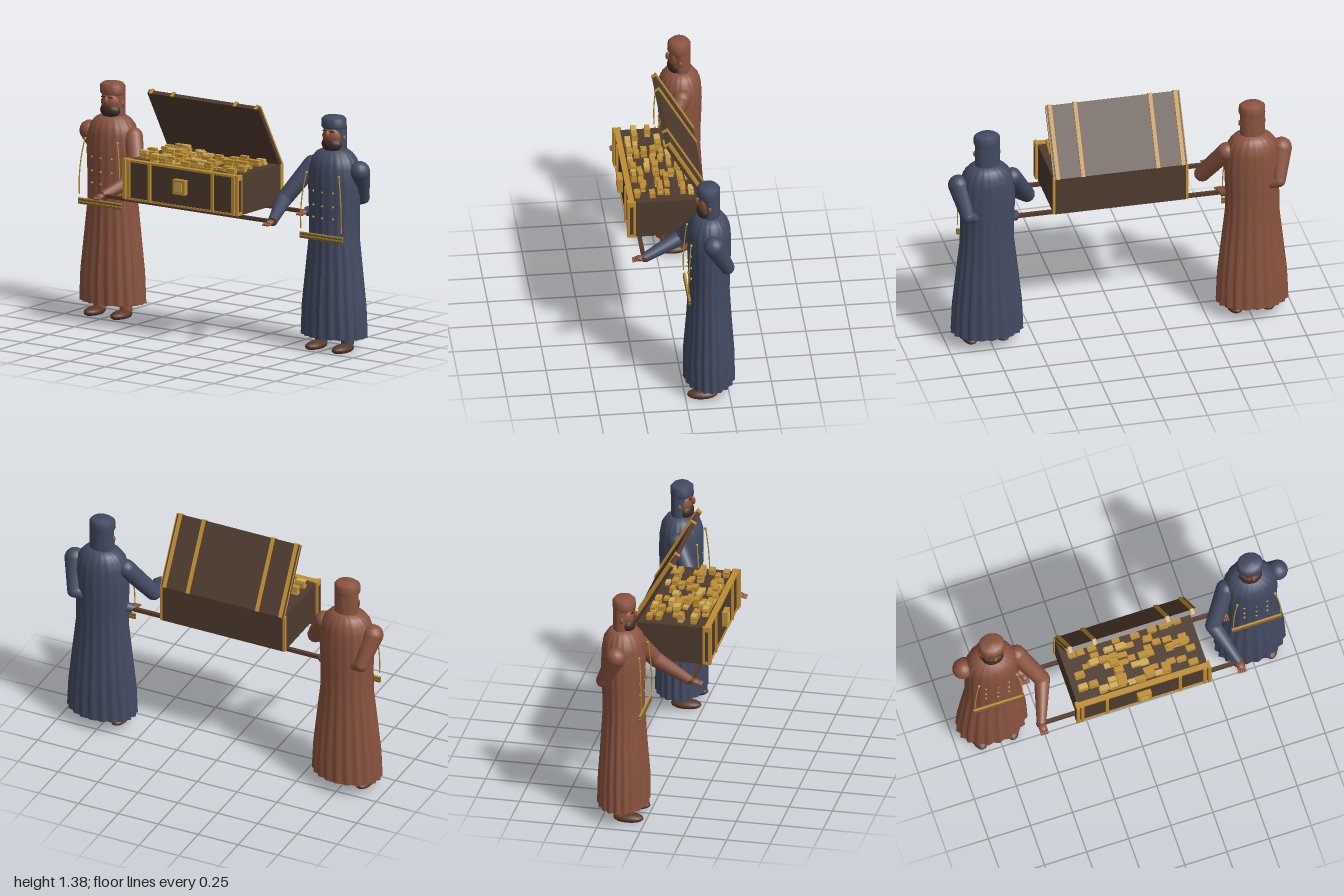
import * as THREE from 'three';

const mat = (name, color, side = THREE.FrontSide) => {
  const m = new THREE.MeshStandardMaterial({ color, side });
  m.name = name;
  return m;
};

export function createModel() {
  const M = {
    blue: mat('blue cloth', 0x434b62, THREE.DoubleSide),
    rust: mat('rust cloth', 0x8a5340, THREE.DoubleSide),
    skin: mat('skin', 0x8c5138),
    beard: mat('dark beard', 0x3c2c23),
    shoe: mat('shoe leather', 0x573828),
    wood: mat('chest wood', 0x4f3b2e),
    pole: mat('pole wood', 0x553a2c),
    gold: mat('gold', 0xbf8f33),
    pale: mat('pale gold', 0xd1ab57),
    brass: mat('dull brass', 0x77602a),
  };
  const root = new THREE.Group();
  const add = (parent, name, geo, material, x = 0, y = 0, z = 0) => {
    const m = new THREE.Mesh(geo, material);
    m.name = name;
    m.position.set(x, y, z);
    parent.add(m);
    return m;
  };
  const box = (parent, name, material, x, y, z, w, h, d) =>
    add(parent, name, new THREE.BoxGeometry(w, h, d), material, x, y, z);
  const ball = (parent, name, material, x, y, z, rx, ry = rx, rz = rx) =>
    add(parent, name, new THREE.SphereGeometry(1, 16, 10).scale(rx, ry, rz), material, x, y, z);
  // tapered limb between two points
  const limb = (parent, name, material, a, b, ra, rb) => {
    const p = new THREE.Vector3(...a), q = new THREE.Vector3(...b), d = q.clone().sub(p);
    const m = add(parent, name, new THREE.CylinderGeometry(rb, ra, d.length(), 12), material);
    m.position.copy(p).lerp(q, 0.5);
    m.quaternion.setFromUnitVectors(new THREE.Vector3(0, 1, 0), d.normalize());
  };
  // pleated tube from sections [y, half width, front z, back z, pleat depth]
  const pleated = (sections, folds) => {
    const g = new THREE.LatheGeometry(sections.map(s => new THREE.Vector2(1, s[0])), folds * 4);
    const p = g.attributes.position, n = sections.length;
    for (let i = 0; i < p.count; i++) {
      const [, w, zf, zb, depth] = sections[i % n];
      const a = Math.atan2(p.getX(i), p.getZ(i));
      const k = 1 - depth * (0.5 - 0.5 * Math.cos(a * folds));
      p.setX(i, p.getX(i) * w * k);
      p.setZ(i, (zf + zb) / 2 + p.getZ(i) * k * (zf - zb) / 2);
    }
    g.computeVertexNormals();
    return g;
  };

  // ---- robed bearers, mirrored by s ----
  const bearer = (name, s, cloth) => {
    const g = new THREE.Group();
    g.name = name;
    root.add(g);
    const cx = 0.767 * s, X = x => x * s;
    add(g, 'robe', pleated([
      [0.08, 0.21, 0.004, -0.292, 0.08], [0.25, 0.202, 0.002, -0.288, 0.08],
      [0.45, 0.18, -0.014, -0.274, 0.07], [0.65, 0.157, -0.026, -0.262, 0.05],
      [0.8, 0.156, -0.026, -0.265, 0.03], [0.95, 0.162, -0.022, -0.271, 0.03],
      [1.05, 0.152, -0.022, -0.267, 0.03], [1.1, 0.137, -0.035, -0.258, 0.03],
      [1.135, 0.108, -0.06, -0.235, 0.02], [1.155, 0.07, -0.095, -0.21, 0], [1.16, 0, -0.15, -0.151, 0],
    ], 20), cloth, cx);

    // head, hood and turban
    add(g, 'hood', pleated([
      [1.12, 0.072, -0.1, -0.206, 0.03], [1.29, 0.072, -0.1, -0.206, 0.03], [1.31, 0.06, -0.11, -0.2, 0],
    ], 10), cloth, cx);
    add(g, 'turban', pleated([
      [1.275, 0.07, -0.085, -0.205, 0], [1.285, 0.076, -0.075, -0.208, 0.02],
      [1.325, 0.075, -0.077, -0.208, 0.02], [1.34, 0.06, -0.095, -0.195, 0], [1.345, 0, -0.14, -0.141, 0],
    ], 10), cloth, cx);
    ball(g, 'face', M.skin, cx, 1.225, -0.128, 0.06, 0.07, 0.047);
    ball(g, 'nose', M.skin, cx, 1.243, -0.08, 0.012, 0.025, 0.016);
    ball(g, 'beard', M.beard, cx, 1.183, -0.122, 0.064, 0.048, 0.048);
    for (const e of [-1, 1]) {
      box(g, 'eyebrow', M.beard, cx + e * 0.026, 1.262, -0.089, 0.026, 0.006, 0.009);
      ball(g, 'ear', M.skin, cx + e * 0.071, 1.222, -0.142, 0.008, 0.017, 0.011);
      // legs and shoes
      limb(g, 'leg', cloth, [cx + e * 0.09, 0.03, -0.145], [cx + e * 0.09, 0.3, -0.145], 0.036, 0.045);
      const shoe = new THREE.SphereGeometry(1, 16, 10), p = shoe.attributes.position;
      for (let i = 0; i < p.count; i++) p.setY(i, Math.max(p.getY(i), -0.6));
      shoe.scale(0.047, 0.028, 0.088);
      add(g, 'shoe', shoe, M.shoe, cx + e * 0.092, 0.017, -0.098);
      // gold cord on the chest
      const cord = new THREE.CatmullRomCurve3([
        [0.112, 1.02, -0.03], [0.125, 0.95, -0.024], [0.135, 0.87, -0.018], [0.14, 0.78, -0.014], [0.14, 0.7, -0.016],
      ].map(([x, y, z]) => new THREE.Vector3(cx + e * x, y, z)));
      add(g, 'cord', new THREE.TubeGeometry(cord, 16, 0.0035, 6), M.gold);
      ball(g, 'cord knot', M.gold, cx + e * 0.112, 1.02, -0.032, 0.008);
    }
    for (const y of [0.77, 0.84, 0.92]) for (const x of [-0.068, 0, 0.068])
      ball(g, 'button', M.gold, cx + x, y, -0.026 - Math.abs(x) * 0.15, 0.007, 0.007, 0.006);
    // belt of stacked straps
    for (let i = 0; i < 4; i++)
      box(g, 'belt strap', i % 2 ? M.gold : M.brass, cx, 0.649 + i * 0.009, -0.021, 0.296, i % 2 ? 0.004 : 0.011, i % 2 ? 0.011 : 0.014);

    // arms: inner one to the front pole, outer one folded back to the rear pole
    const arm = (label, sh, el, wr, r) => {
      const a = new THREE.Group();
      a.name = label;
      g.add(a);
      const [S, E, W] = [sh, el, wr].map(([x, y, z]) => [X(x), y, z]);
      ball(a, 'shoulder', cloth, ...S, r[0]);
      limb(a, 'upper sleeve', cloth, S, E, r[0], r[1]);
      ball(a, 'elbow', cloth, ...E, r[1]);
      limb(a, 'lower sleeve', cloth, E, W, r[1], r[2]);
      const [x, y, z] = W;
      ball(a, 'hand', M.skin, x, y + 0.002, z + 0.02, 0.024, 0.016, 0.03);
      for (let i = -1.5; i < 2; i++)
        limb(a, 'finger', M.skin, [x + i * 0.012, y, z + 0.035], [x + i * 0.012, y - 0.008, z + 0.066], 0.006, 0.005);
    };
    arm('inner arm', [0.62, 1.045, -0.14], [0.508, 0.85, -0.02], [0.587, 0.768, 0.205], [0.053, 0.046, 0.027]);
    arm('outer arm', [0.935, 1.04, -0.155], [0.9, 0.875, -0.235], [0.592, 0.772, -0.115], [0.059, 0.04, 0.027]);
  };
  bearer('blue bearer', 1, M.blue);
  bearer('rust bearer', -1, M.rust);

  // ---- carrying poles ----
  for (const z of [0.205, -0.115]) box(root, 'pole', M.pole, 0, 0.771, z, 1.23, 0.02, 0.022);

  // ---- chest ----
  const chest = new THREE.Group();
  chest.name = 'chest';
  root.add(chest);
  box(chest, 'chest body', M.wood, 0, 0.897, 0.045, 0.77, 0.225, 0.435);
  for (const y of [0.792, 1.011]) box(chest, 'front rim', M.gold, 0, y, 0.252, 0.784, 0.012, 0.032);
  for (const s of [-1, 1]) {
    box(chest, 'front band', M.gold, s * 0.217, 0.902, 0.268, 0.018, 0.226, 0.014);
    box(chest, 'front edge band', M.gold, s * 0.363, 0.902, 0.268, 0.02, 0.226, 0.014);
    box(chest, 'corner band', M.gold, s * 0.39, 0.905, 0.253, 0.018, 0.23, 0.048);
    box(chest, 'corner inlay', M.wood, s * 0.399, 0.9, 0.253, 0.004, 0.18, 0.018);
    box(chest, 'rear corner band', M.gold, s * 0.384, 0.9, -0.165, 0.014, 0.226, 0.022);
  }
  box(chest, 'lock plate', M.gold, 0, 0.907, 0.275, 0.082, 0.085, 0.036);
  box(chest, 'lock panel', M.pale, 0, 0.907, 0.294, 0.05, 0.05, 0.004);

  // lid hinged at the rear edge, leaning forward
  const lid = new THREE.Group();
  lid.name = 'lid';
  lid.position.set(0, 1.005, -0.165);
  lid.rotation.x = Math.PI / 6;
  root.add(lid);
  box(lid, 'lid panel', M.wood, 0, 0.21, 0, 0.77, 0.42, 0.026);
  for (const x of [-0.363, -0.217, 0.217, 0.363]) {
    box(lid, 'lid band', M.gold, x, 0.212, -0.015, 0.022, 0.428, 0.01);
    box(lid, 'band end', M.gold, x, 0.421, 0, 0.02, 0.008, 0.03);
  }
  for (const s of [-1, 1]) box(lid, 'lid edge', M.gold, s * 0.386, 0.212, -0.011, 0.004, 0.424, 0.01);

  // ---- treasure: jittered stacks of ingots ----
  let seed = 7;
  const rnd = () => (seed = (seed * 16807) % 2147483647) / 2147483647;
  const hoard = new THREE.Group();
  hoard.name = 'treasure';
  root.add(hoard);
  for (let i = 0; i < 13; i++) for (let j = 0; j < 8; j++) {
    if (rnd() < 0.36) continue;
    const x = -0.32 + i * 0.0525 + (rnd() - 0.5) * 0.024;
    const z = 0.212 - j * 0.043 + (rnd() - 0.5) * 0.014;
    const layers = 1 + Math.floor(rnd() * 3);
    for (let k = 0; k < layers; k++)
      box(hoard, 'ingot', rnd() < 0.3 ? M.pale : M.gold, x + (rnd() - 0.5) * 0.012, 1.0185 + k * 0.0165, z,
        0.042 + rnd() * 0.014, 0.015, 0.026 + rnd() * 0.008);
  }
  return root;
}
